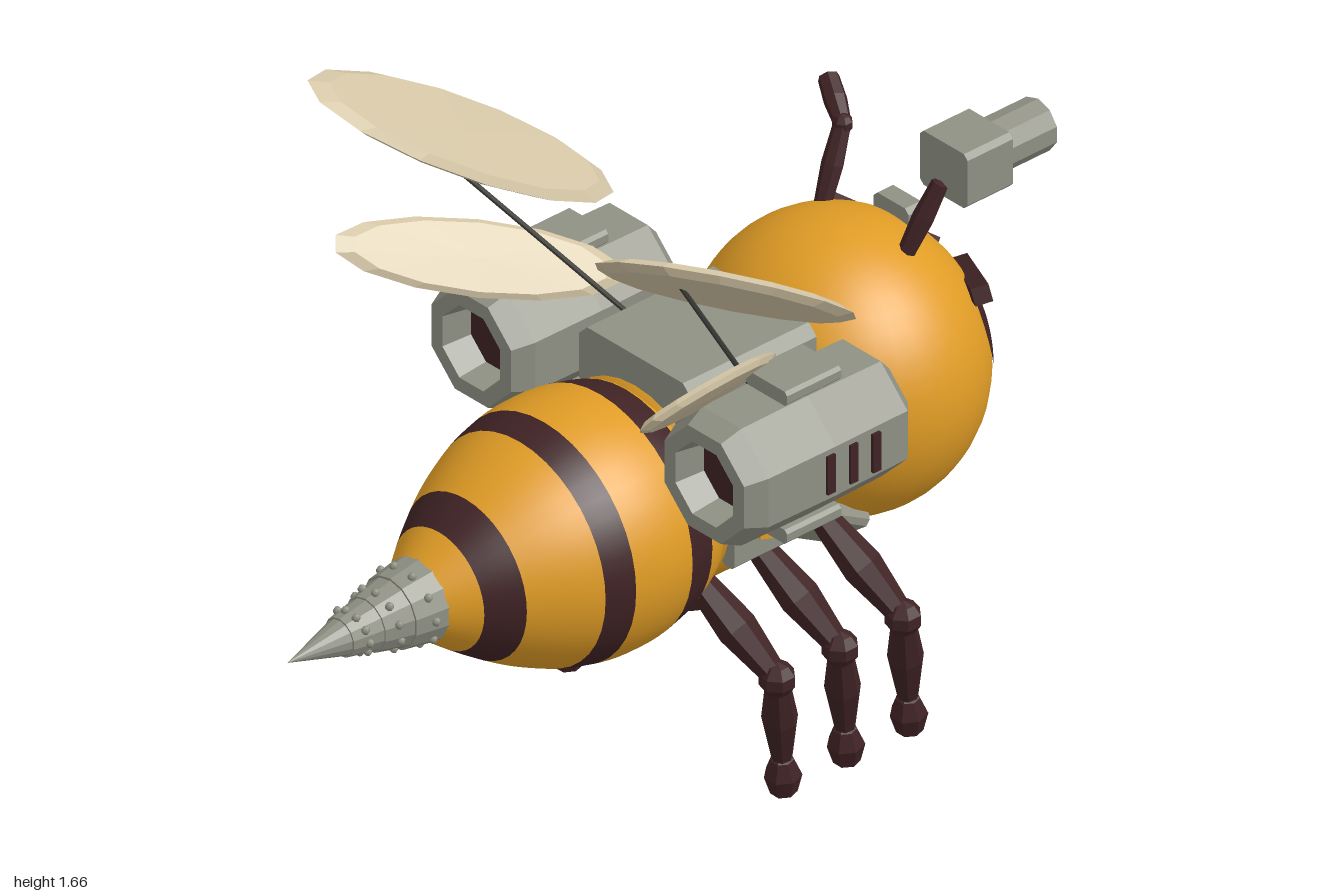
import * as THREE from 'three';

const V = (x, y, z) => new THREE.Vector3(x, y, z);

function mat(name, color, side = THREE.FrontSide) {
  const m = new THREE.MeshStandardMaterial({ color, side });
  m.name = name;
  return m;
}

// Faceted normals for the low-poly parts
function flat(g) {
  const f = g.index ? g.toNonIndexed() : g;
  f.computeVertexNormals();
  return f;
}

// Lathe whose axis runs along z; points are [radius, z] with z ascending
function latheZ(points, sides, turn = 0) {
  const g = new THREE.LatheGeometry(points.map(([r, z]) => new THREE.Vector2(r, z)), sides);
  return g.rotateX(Math.PI / 2).rotateZ(turn);
}

// Lathe stretched between two points; profile is [radius, fraction of length]
function limb(a, b, profile, sides = 7) {
  const len = a.distanceTo(b);
  const g = new THREE.LatheGeometry(profile.map(([r, t]) => new THREE.Vector2(r, t * len)), sides);
  g.applyQuaternion(new THREE.Quaternion().setFromUnitVectors(V(0, 1, 0), b.clone().sub(a).normalize()));
  return flat(g.translate(a.x, a.y, a.z));
}
const rod = (r) => [[0, 0], [r, 0], [r, 1], [0, 1]];
const spindle = (r0, r1, r2) => [[0, 0], [r0, 0.03], [r1, 0.5], [r2, 0.97], [0, 1]];

// Box with chamfered outline, extruded along z
function chamferBox(w, h, d, c) {
  const x = w / 2, y = h / 2, s = new THREE.Shape();
  [[-x + c, -y], [x - c, -y], [x, -y + c], [x, y - c], [x - c, y], [-x + c, y], [-x, y - c], [-x, -y + c]]
    .forEach(([px, py], i) => (i ? s.lineTo(px, py) : s.moveTo(px, py)));
  return flat(new THREE.ExtrudeGeometry(s, { depth: d, bevelEnabled: false }).translate(0, 0, -d / 2));
}

// Thin faceted ellipse from centre, long half axis and wide half axis
function wingGeometry(c, a, w, thick) {
  const g = new THREE.LatheGeometry(
    [[0, -1], [0.88, -0.8], [1, 0], [0.88, 0.8], [0, 1]].map(([r, y]) => new THREE.Vector2(r, y)), 14);
  const n = w.clone().cross(a).normalize().multiplyScalar(thick);
  return flat(g.applyMatrix4(new THREE.Matrix4().makeBasis(a, n, w).setPosition(c)));
}

export function createModel() {
  const model = new THREE.Group();
  const yellow = mat('honey yellow', 0xe09c25);
  const brown = mat('dark brown', 0x3f2224);
  const grey = mat('machine grey', 0x909184);
  const cream = mat('wing cream', 0xd3c5a5);
  const strut = mat('strut charcoal', 0x45443f);

  const add = (name, geometry, material, x = 0, y = 0, z = 0) => {
    const m = new THREE.Mesh(geometry, material);
    m.name = name;
    m.position.set(x, y, z);
    model.add(m);
    return m;
  };

  // Head: slightly shortened sphere
  const HC = V(0, 0.74, -0.575), HR = V(0.34, 0.34, 0.315);
  add('head', new THREE.SphereGeometry(1, 40, 28).scale(HR.x, HR.y, HR.z), yellow, HC.x, HC.y, HC.z);
  const onHead = (x, y, lift = 1) => {
    const u = (x - HC.x) / HR.x, v = (y - HC.y) / HR.y;
    return V(x, y, HC.z - HR.z * lift * Math.sqrt(Math.max(0, 1 - u * u - v * v)));
  };

  // Thorax
  add('thorax', latheZ([[0, -0.42], [0.22, -0.4], [0.245, -0.3], [0.25, -0.18], [0.25, -0.05], [0.24, 0.06], [0, 0.08]], 32),
    yellow, 0, 0.675, 0);

  // Striped abdomen
  const radius = (z) => z < 0.18
    ? 0.297 * Math.sqrt(1 - ((z - 0.18) / 0.36) ** 2)
    : 0.297 * Math.cos(2.79 * (z - 0.18));
  const bands = [-0.12, 0.03, 0.105, 0.265, 0.335, 0.49, 0.565, 0.625];
  for (let i = 0; i < bands.length - 1; i++) {
    const pts = [];
    for (let k = 0; k <= 6; k++) {
      const z = bands[i] + (bands[i + 1] - bands[i]) * k / 6;
      pts.push([radius(z), z]);
    }
    add(i % 2 ? 'abdomenStripe' : 'abdomenBand', latheZ(pts, 40), i % 2 ? brown : yellow, 0, 0.65, 0);
  }

  // Drill: stepped collars, studs and a pointed tip
  const stages = [[0.61, 0.705, 0.1, 0.085], [0.705, 0.775, 0.08, 0.064], [0.775, 0.85, 0.06, 0.046], [0.85, 1, 0.042, 0]];
  stages.forEach(([z0, z1, r0, r1], i) => {
    add('drillStage', flat(latheZ([[0, z0], [r0, z0], [r1, z1], [0, z1 + 0.0001]], 14)), grey, 0, 0.65, 0);
    if (i === 3) return;
    for (let k = 0; k < 10; k++) {
      const t = (k + i * 0.4) / 10 * Math.PI * 2, r = (r0 + r1) / 2;
      add('drillStud', new THREE.SphereGeometry(0.01, 6, 5), grey,
        r * Math.cos(t), 0.65 + r * Math.sin(t), (z0 + z1) / 2 + 0.012 * Math.sin(t));
    }
  });

  // Back plate joining the engines, and the head sensor
  add('backPlate', chamferBox(0.35, 0.16, 0.36, 0.025), grey, 0, 0.915, -0.175);
  add('headSensor', chamferBox(0.11, 0.06, 0.045, 0.012), grey, 0, 1.04, -0.75);

  for (const s of [-1, 1]) {
    const P = (x, y, z) => V(s * x, y, z);

    // Engine with hollow nozzle
    const ex = s * 0.365, ey = 0.9;
    add('engine', flat(latheZ([[0, -0.35], [0.11, -0.35], [0.156, -0.31], [0.16, -0.1], [0.158, 0.09], [0.135, 0.14],
      [0.098, 0.14], [0.085, 0.06], [0, 0.06]], 8, Math.PI / 8)), grey, ex, ey, 0);
    add('nozzleCore', new THREE.CircleGeometry(0.086, 8, Math.PI / 8), brown, ex, ey, 0.068);
    for (const y of [1.065, 0.72]) add('enginePad', chamferBox(0.13, 0.035, 0.155, 0.008), grey, ex, y, -0.115);
    for (const y of [1.035, 0.75]) add('enginePadStem', new THREE.BoxGeometry(0.08, 0.04, 0.1), grey, ex, y, -0.115);
    for (const z of [-0.085, -0.15, -0.215]) {
      add('engineVent', new THREE.BoxGeometry(0.009, 0.095, 0.022), brown, s * 0.514, 0.9, z);
    }

    // Wings and the long strut
    add('upperWing', wingGeometry(P(0.415, 1.4, 0.125), P(0.045, 0.26, 0.39), P(0.125, 0.05, -0.035), 0.018), cream);
    add('lowerWing', wingGeometry(P(0.36, 1.12, 0.125), P(0.13, 0.105, 0.3), P(0.045, 0.06, -0.041), 0.014), cream);
    add('wingStrut', limb(P(0.18, 0.92, -0.17), P(0.465, 1.56, 0.33), rod(0.006), 6), strut);

    // Side panel with shield badge
    add('sidePanel', chamferBox(0.04, 0.19, 0.28, 0.008), grey, s * 0.242, 0.655, -0.18);
    const shield = new THREE.Shape();
    [[-0.08, 0.045], [0, 0.065], [0.08, 0.035], [0.08, -0.03], [0, -0.065], [-0.08, -0.04]]
      .forEach(([x, y], i) => (i ? shield.lineTo(x, y) : shield.moveTo(x, y)));
    add('shieldBadge', new THREE.ExtrudeGeometry(shield, { depth: 0.006, bevelEnabled: false }).rotateY(s * Math.PI / 2),
      yellow, s * 0.261, 0.65, -0.19);
    const neck = add('neckPlate', chamferBox(0.14, 0.05, 0.13, 0.012), grey, s * 0.16, 0.49, -0.39);
    neck.rotation.set(-0.5, 0, s * 0.7);

    // Three legs on each side
    for (let i = 0; i < 3; i++) {
      const z = -0.18 * i;
      const hip = P(0.19, 0.53, z + 0.005), knee = P(0.375, 0.335, z - 0.06);
      const ankle = P(0.34, 0.1, z - 0.105), foot = P(0.335, 0.0, z - 0.115);
      add('thigh', limb(hip, knee, spindle(0.032, 0.046, 0.028)), brown);
      add('knee', flat(new THREE.SphereGeometry(0.042, 7, 5)), brown, knee.x, knee.y, knee.z);
      add('shin', limb(knee, ankle, spindle(0.026, 0.04, 0.024)), brown);
      add('foot', limb(ankle, foot, [[0, -0.15], [0.026, 0], [0.042, 0.4], [0.03, 0.85], [0, 1]]), brown);
    }

    // Eye patch, glint and angry brow
    const eye = new THREE.SphereGeometry(1.008, 24, 10, 0, Math.PI * 2, 0, 0.4);
    eye.applyQuaternion(new THREE.Quaternion().setFromUnitVectors(V(0, 1, 0), V(s * 0.44, 0.22, -0.87).normalize()));
    add('eye', eye.scale(HR.x, HR.y, HR.z), brown, HC.x, HC.y, HC.z);
    const glint = onHead(s * 0.12, 0.865, 1.02);
    add('eyeGlint', new THREE.SphereGeometry(0.015, 8, 6), grey, glint.x, glint.y, glint.z);
    add('brow', limb(P(0.26, 0.945, -0.75), P(0.04, 0.86, -0.89), rod(0.028), 4), brown);

    // Antenna lower stalk
    const bend = P(0.155, 1.19, -0.73);
    add('antennaStalk', limb(P(0.13, 1.03, -0.65), bend, spindle(0.02, 0.025, 0.02)), brown);
    if (s < 0) {
      add('antennaJoint', flat(new THREE.SphereGeometry(0.024, 7, 5)), brown, bend.x, bend.y, bend.z);
      add('antennaTip', limb(bend, P(0.255, 1.24, -0.78), spindle(0.02, 0.026, 0.024)), brown);
    }
  }

  // Frowning mouth
  const mouth = [[-0.085, 0.565], [-0.05, 0.595], [0, 0.6], [0.05, 0.595], [0.085, 0.565]].map(([x, y]) => onHead(x, y, 1.01));
  add('mouth', new THREE.TubeGeometry(new THREE.CatmullRomCurve3(mouth), 16, 0.009, 6), brown);

  // Scope on the left antenna: housing, barrel and lens rings facing -z
  add('scopeHousing', chamferBox(0.15, 0.135, 0.13, 0.012), grey, 0.162, 1.222, -0.795);
  add('scopeBarrel', flat(latheZ([[0, -0.98], [0.045, -0.98], [0.045, -1], [0.062, -1], [0.062, -0.85], [0, -0.85]], 10)),
    grey, 0.162, 1.222, 0);
  [[0.045, 0.036, brown], [0.036, 0.024, yellow], [0.024, 0, brown]].forEach(([r, inner, m]) =>
    add('scopeLens', new THREE.RingGeometry(inner, r, 16).rotateY(Math.PI), m, 0.162, 1.222, -0.985));

  return model;
}
